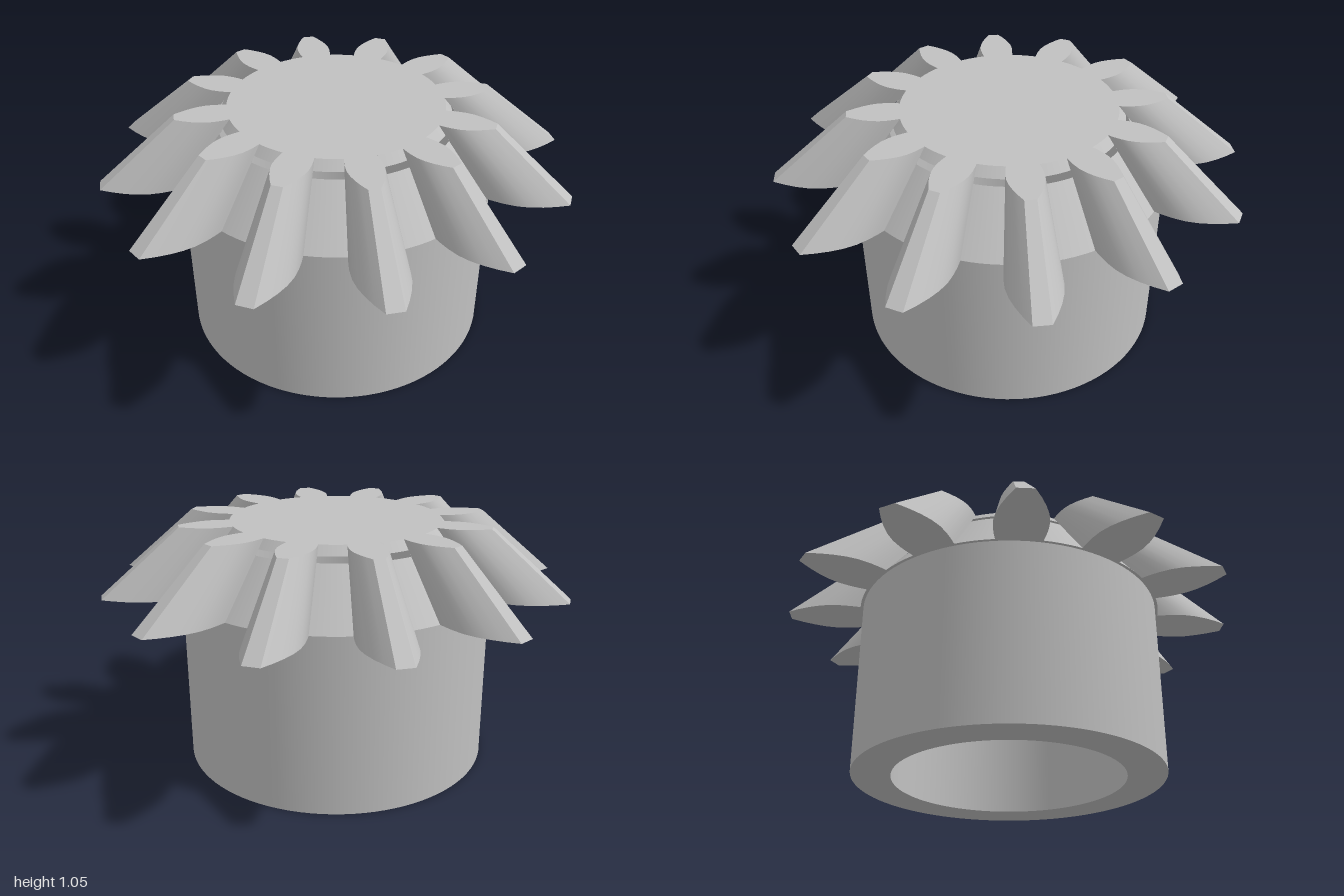
import * as THREE from 'three';

const TEETH = 12, STEP = (Math.PI * 2) / TEETH;
const Y0 = 0.765, Y1 = 1.05, TOP = 0.667;   // toothed ring: bottom, top, scale at the top
const ROOT = 0.68, HUB = 0.667, BORE = 0.5;
const SLIT_LOW = 0.99, SLIT_HIGH = 1.012;   // the bore breaks through between the teeth here

// radius of the root cone at a height
const coneR = (y) => ROOT * (1 + ((TOP - 1) * (y - Y0)) / (Y1 - Y0));

// one tooth flank at the large end: [radius, half width]
const FLANK = [[0.673, 0.095], [0.71, 0.102], [0.75, 0.107], [0.8, 0.108],
  [0.85, 0.1], [0.9, 0.084], [0.95, 0.062], [1, 0.035]];
const RISING = FLANK.map(([r, t]) => [r, -t]);
const FALLING = [...FLANK].reverse();

// sloping wall between the large profile below and the small one above
function wall(points) {
  const pos = [], index = [];
  points.forEach(([r, t], i) => {
    pos.push(r, Y0, -t, r * TOP, Y1, -t * TOP);
    if (i) {
      const a = 2 * i - 2;
      index.push(a, a + 2, a + 1, a + 1, a + 2, a + 3);
    }
  });
  const g = new THREE.BufferGeometry();
  g.setAttribute('position', new THREE.Float32BufferAttribute(pos, 3));
  g.setIndex(index);
  g.computeVertexNormals();
  return g;
}

// whole gear outline, with root arcs between the teeth
function outline(scale) {
  const pts = [];
  const half = Math.atan2(FLANK[0][1], FLANK[0][0]);
  for (let k = 0; k < TEETH; k++) {
    const a = k * STEP, c = Math.cos(a), s = Math.sin(a);
    for (const [r, t] of [...RISING, ...FALLING]) {
      pts.push(new THREE.Vector2(r * c - t * s, r * s + t * c).multiplyScalar(scale));
    }
    for (let i = 1; i < 6; i++) {
      const b = a + half + ((STEP - 2 * half) * i) / 6;
      pts.push(new THREE.Vector2(Math.cos(b), Math.sin(b)).multiplyScalar(ROOT * scale));
    }
  }
  return new THREE.Shape(pts);
}

export function createModel() {
  const model = new THREE.Group();
  const steel = new THREE.MeshStandardMaterial({ color: 0xc0c0c0 });
  steel.name = 'grey steel';
  const steelThin = new THREE.MeshStandardMaterial({ color: 0xc0c0c0, side: THREE.DoubleSide });
  steelThin.name = 'grey steel thin';

  const add = (name, geometry, parent = model, material = steel) => {
    const mesh = new THREE.Mesh(geometry, material);
    mesh.name = name;
    parent.add(mesh);
    return mesh;
  };
  // surface of revolution of one straight edge, so corners stay sharp
  const turn = (name, r0, y0, r1, y1) => add(name, new THREE.LatheGeometry(
    [new THREE.Vector2(r0, y0), new THREE.Vector2(r1, y1)], 96));

  // hollow hub
  turn('hubBottom', BORE, 0, HUB, 0);
  turn('hubWall', HUB, 0, HUB, Y0);
  turn('boreWall', BORE, SLIT_LOW, BORE, 0);

  // root cone, split by the slit, and the plate that closes the bore
  turn('rootCone', ROOT, Y0, BORE, SLIT_LOW);
  turn('plateRim', coneR(SLIT_HIGH), SLIT_HIGH, coneR(Y1), Y1);
  turn('plateUnderside', 0, SLIT_HIGH, coneR(SLIT_HIGH), SLIT_HIGH);

  // flat gear faces
  add('topFace', new THREE.ShapeGeometry(outline(TOP)).rotateX(-Math.PI / 2)).position.y = Y1;
  const under = outline(1);
  under.holes.push(new THREE.Path().absarc(0, 0, 0.6, 0, Math.PI * 2, true));
  add('toothUnderside', new THREE.ShapeGeometry(under, 48).rotateX(Math.PI / 2)).position.y = Y0;

  // teeth, each with a web that bridges the slit
  const flankA = wall(RISING), flankB = wall(FALLING);
  const tip = wall([RISING[RISING.length - 1], FALLING[0]]);
  const half = 0.14;
  const web = new THREE.LatheGeometry(
    [new THREE.Vector2(BORE, SLIT_LOW), new THREE.Vector2(coneR(SLIT_HIGH), SLIT_HIGH)],
    8, Math.PI / 2 - half, half * 2);
  for (let k = 0; k < TEETH; k++) {
    const tooth = new THREE.Group();
    tooth.name = 'tooth' + (k + 1);
    add('flankRight', flankA, tooth);
    add('tip', tip, tooth);
    add('flankLeft', flankB, tooth);
    add('web', web, tooth, steelThin);
    tooth.rotation.y = k * STEP;
    model.add(tooth);
  }
  return model;
}
